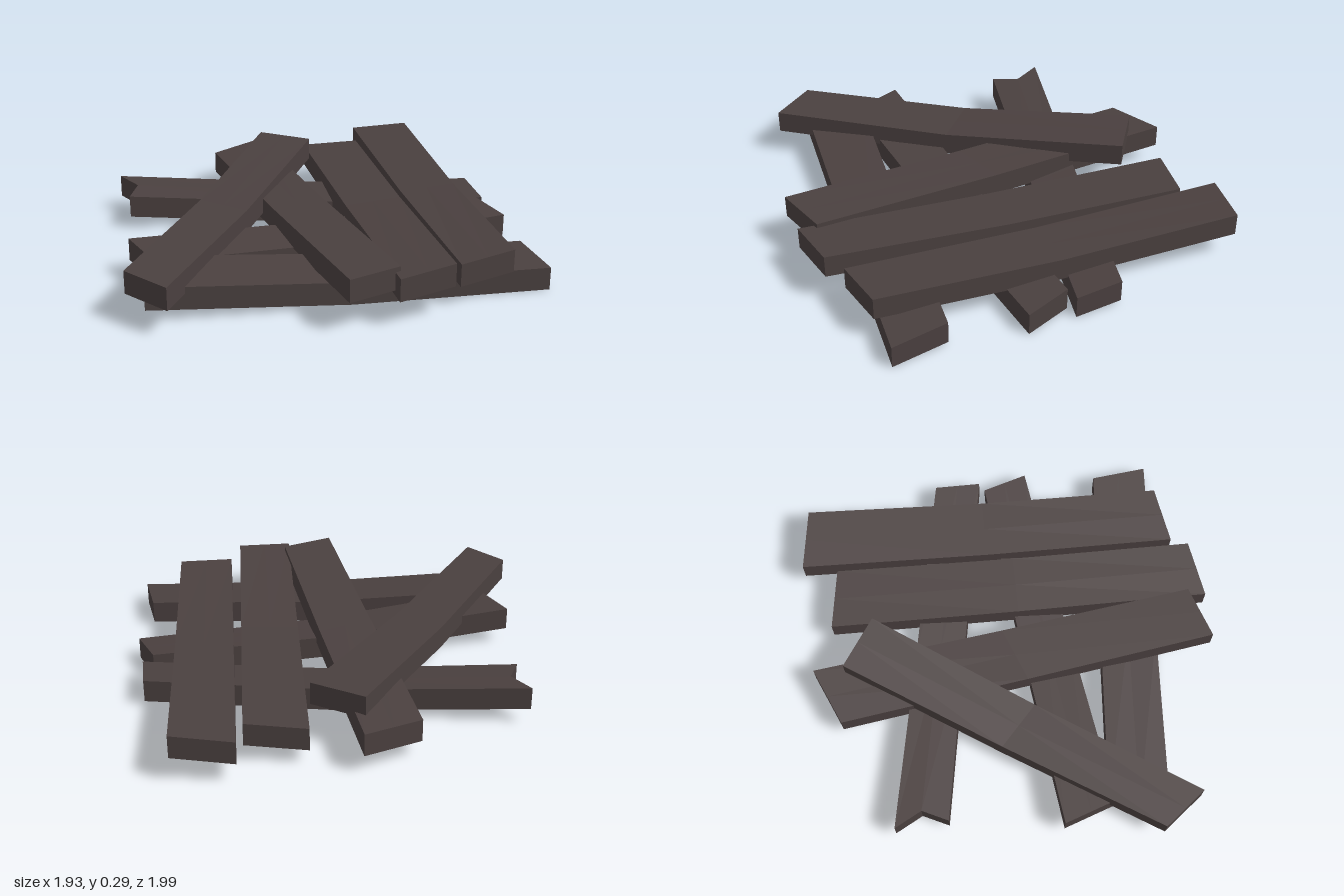
import * as THREE from 'three';

const wood = new THREE.MeshStandardMaterial({ color: 0x4a403f, side: THREE.DoubleSide });
wood.name = 'darkWood';

const THICKNESS = 0.11;
const mid = (p, q) => p.map((v, i) => (v + q[i]) / 2);

// A bent board, open underneath. Each end is a pair of top corners [x, y, z];
// the board sags to heights [ya, yb] at its middle. notch is an optional point cut into the first end.
function plank(name, [a0, b0], [ya, yb], [a2, b2], notch) {
  const a1 = mid(a0, a2), b1 = mid(b0, b2);
  a1[1] = ya;
  b1[1] = yb;
  const rows = [[a0, b0], [a1, b1], [a2, b2]].map(([a, b]) => [a, mid(a, b), b]);
  if (notch) rows[0][1] = notch;

  const pos = [];
  const quad = (a, b, c, d) => [a, b, c, a, c, d].forEach((p) => pos.push(...p));

  // top
  for (let r = 0; r < 2; r++) {
    for (let c = 0; c < 2; c++) {
      quad(rows[r][c], rows[r][c + 1], rows[r + 1][c + 1], rows[r + 1][c]);
    }
  }
  // side walls around the outline
  const ring = [...rows[0], b1, ...rows[2].slice().reverse(), a1];
  const down = ([x, y, z]) => [x, y - THICKNESS, z];
  ring.forEach((p, i) => {
    const q = ring[(i + 1) % ring.length];
    quad(down(p), down(q), q, p);
  });

  const geometry = new THREE.BufferGeometry();
  geometry.setAttribute('position', new THREE.Float32BufferAttribute(pos, 3));
  geometry.computeVertexNormals();
  const mesh = new THREE.Mesh(geometry, wood);
  mesh.name = name;
  return mesh;
}

export function createModel() {
  const group = new THREE.Group();
  group.name = 'plankPile';

  group.add(
    // lower boards, left to right: back corner then front corner
    plank('lowerBackPlank',
      [[-0.865, 0.185, -0.61], [-0.845, 0.17, -0.355]], [0.13, 0.11],
      [[0.92, 0.13, -0.31], [0.935, 0.11, -0.085]], [-0.79, 0.178, -0.48]),
    plank('lowerMiddlePlank',
      [[-0.905, 0.185, 0.19], [-0.81, 0.17, 0.44]], [0.13, 0.11],
      [[0.885, 0.13, -0.06], [0.965, 0.11, 0.155]]),
    plank('lowerFrontPlank',
      [[-0.81, 0.185, 0.405], [-0.89, 0.17, 0.69]], [0.13, 0.115],
      [[0.91, 0.13, 0.51], [0.955, 0.11, 0.78]]),

    // upper boards, front to back: low-x corner then high-x corner
    plank('upperOuterPlank',
      [[0.495, 0.21, 0.855], [0.765, 0.23, 0.8]], [0.19, 0.205],
      [[0.49, 0.21, -1], [0.78, 0.23, -0.96]]),
    plank('upperInnerPlank',
      [[0.175, 0.235, 0.985], [0.445, 0.255, 0.93]], [0.195, 0.21],
      [[0.17, 0.18, -0.87], [0.46, 0.195, -0.83]]),
    plank('upperLeaningPlank',
      [[-0.05, 0.26, 0.99], [0.2, 0.255, 0.9]], [0.215, 0.215],
      [[-0.06, 0.2, -0.965], [-0.33, 0.185, -0.84]].reverse()),
    plank('topDiagonalPlank',
      [[-0.97, 0.245, 0.655], [-0.81, 0.24, 0.85]], [0.235, 0.23],
      [[-0.08, 0.295, -0.81], [0.155, 0.29, -0.66]]),
  );
  return group;
}
